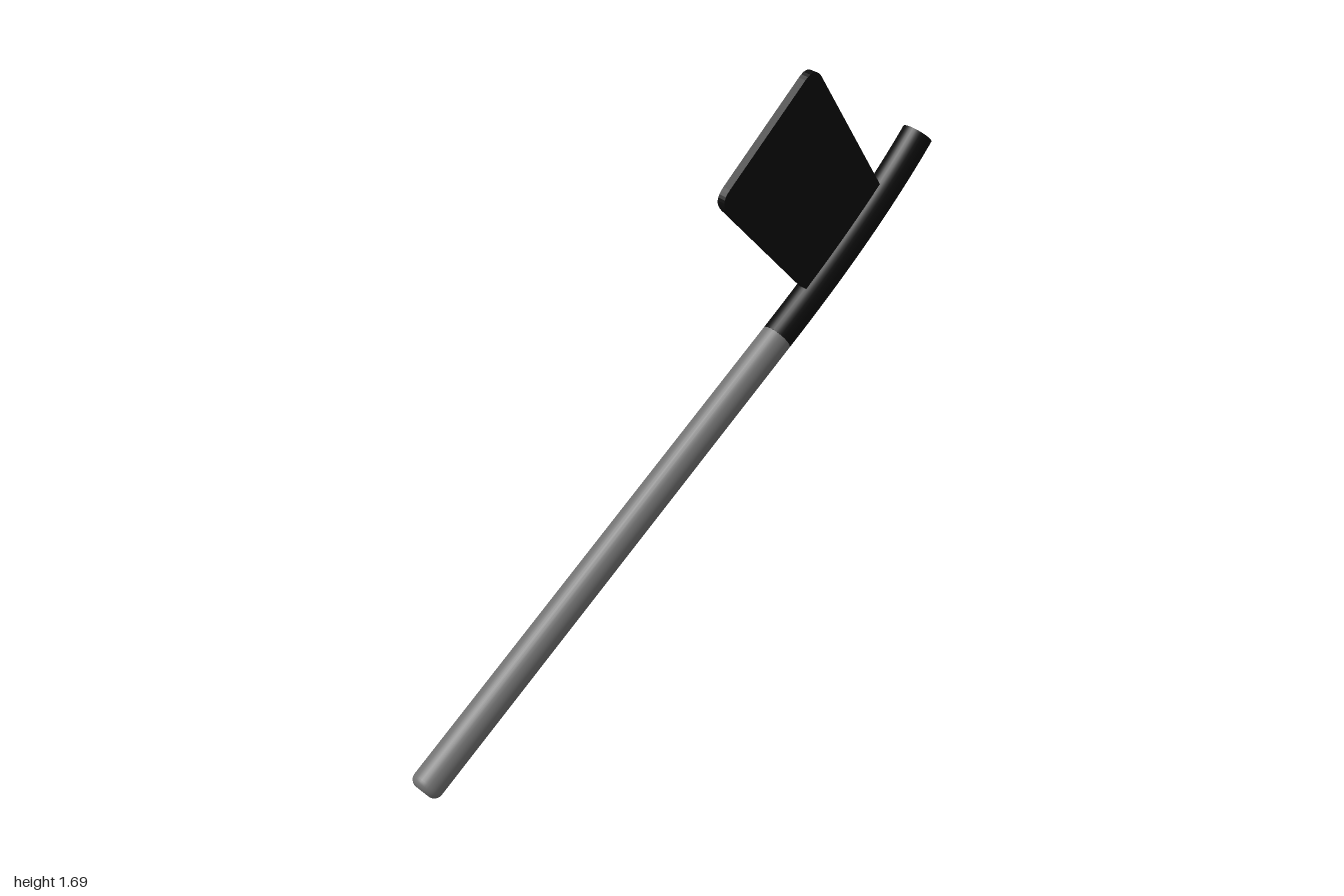
import * as THREE from 'three';

export function createModel() {
  const grey = new THREE.MeshStandardMaterial({ color: 0x707070 });
  grey.name = 'greyPole';
  const black = new THREE.MeshStandardMaterial({ color: 0x0c0c0c });
  black.name = 'blackHead';

  const model = new THREE.Group();
  const add = (name, geometry, material) => {
    const mesh = new THREE.Mesh(geometry, material);
    mesh.name = name;
    model.add(mesh);
    return mesh;
  };

  const R = 0.047; // shared radius of pole and neck
  const foot = new THREE.Vector2(-0.984, 0.031);
  const joint = new THREE.Vector2(0.382, 0.893);

  // Straight pole with a rounded lower end
  const r = 0.025;
  const profile = [new THREE.Vector2(0, 0)];
  for (let i = 0; i <= 6; i++) {
    const a = (i / 6) * Math.PI / 2;
    profile.push(new THREE.Vector2(R - r + r * Math.sin(a), r - r * Math.cos(a)));
  }
  profile.push(new THREE.Vector2(R, foot.distanceTo(joint)));
  const pole = add('pole', new THREE.LatheGeometry(profile, 32), grey);
  pole.position.set(foot.x, foot.y, 0);
  pole.rotation.z = joint.clone().sub(foot).angle() - Math.PI / 2;

  // Upward-curving neck
  const curve = new THREE.QuadraticBezierCurve3(
    new THREE.Vector3(joint.x, joint.y, 0),
    new THREE.Vector3(0.739, 1.116, 0),
    new THREE.Vector3(0.963, 1.342, 0)
  );
  add('neck', new THREE.TubeGeometry(curve, 32, R, 32), black);

  // Flat caps on both ends of the neck
  for (const [name, t, sign] of [['neckTipCap', 1, 1], ['neckJointCap', 0, -1]]) {
    const cap = add(name, new THREE.CircleGeometry(R, 32), black);
    cap.position.copy(curve.getPoint(t));
    cap.lookAt(curve.getTangent(t).multiplyScalar(sign).add(cap.position));
  }

  // Thin blade, its outer two corners rounded, its base sunk in the neck
  const [baseLeft, tipLeft, tipRight, baseRight] = [
    [0.515, 0.984], [0.129, 1.414], [0.493, 1.704], [0.815, 1.205]
  ].map(([x, y]) => new THREE.Vector2(x, y));
  const shape = new THREE.Shape();
  const roundCorner = (before, corner, after) => {
    const toward = (p) => p.clone().sub(corner).setLength(0.05).add(corner);
    const a = toward(before), b = toward(after);
    shape.lineTo(a.x, a.y);
    shape.quadraticCurveTo(corner.x, corner.y, b.x, b.y);
  };
  shape.moveTo(baseLeft.x, baseLeft.y);
  roundCorner(baseLeft, tipLeft, tipRight);
  roundCorner(tipLeft, tipRight, baseRight);
  shape.lineTo(baseRight.x, baseRight.y);
  shape.closePath();
  const thickness = 0.025;
  const bladeGeometry = new THREE.ExtrudeGeometry(shape, {
    depth: thickness, bevelEnabled: false, curveSegments: 8
  });
  bladeGeometry.translate(0, 0, -thickness / 2);
  add('blade', bladeGeometry, black);

  return model;
}
